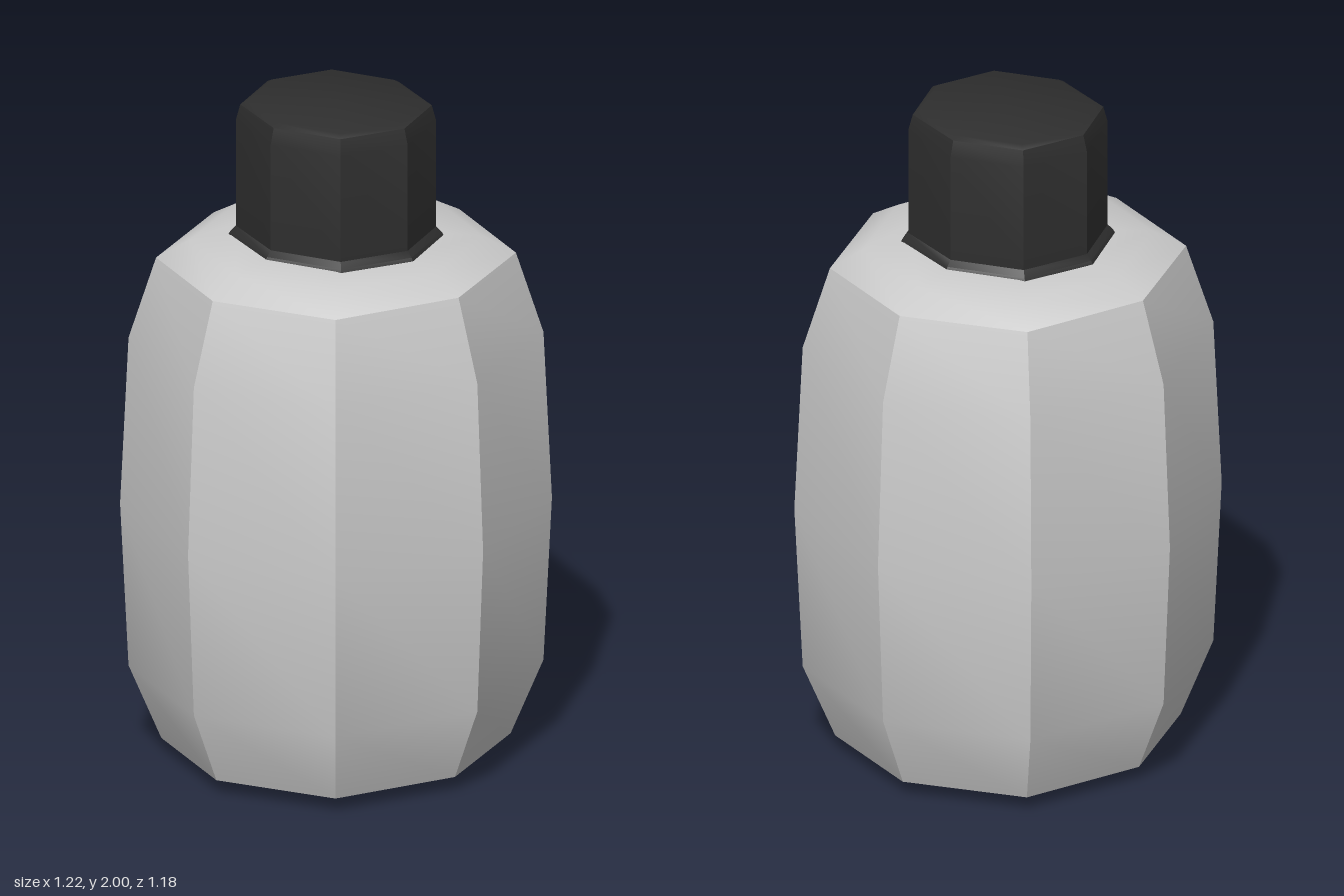
import * as THREE from 'three';
import { toCreasedNormals } from 'three/addons/utils/BufferGeometryUtils.js';

// Eight-sided turned form, stretched separately in x and z, corners on the axes
function octagonalLathe(name, profile, zScale, color) {
  const points = profile.map(([r, y]) => new THREE.Vector2(r, y));
  const lathe = new THREE.LatheGeometry(points, 8);
  const pos = lathe.attributes.position;
  for (let i = 0; i < pos.count; i++) {
    const x = pos.getX(i), z = pos.getZ(i);
    // diagonal corners sit slightly further out than a regular octagon
    const k = Math.abs(x * z) > 1e-6 ? 1.035 : 1;
    pos.setX(i, x * k);
    pos.setZ(i, z * k * zScale);
  }
  const mesh = new THREE.Mesh(
    toCreasedNormals(lathe, THREE.MathUtils.degToRad(32)),
    new THREE.MeshStandardMaterial({ color })
  );
  mesh.name = name;
  return mesh;
}

export function createModel() {
  const group = new THREE.Group();
  group.name = 'bottle';

  // Barrel-shaped body with a shallow base and rounded shoulder
  group.add(octagonalLathe('body', [
    [0, 0], [0.08, 0.002], [0.31, 0.008], [0.495, 0.045],
    [0.588, 0.27], [0.612, 0.77], [0.588, 1.28], [0.51, 1.525],
    [0.415, 1.578], [0.28, 1.592], [0, 1.595],
  ], 0.96, 0xcccccc));

  // Dark cap with a thin flared rim at its foot and a bevelled top
  group.add(octagonalLathe('cap', [
    [0, 1.588], [0.29, 1.588], [0.285, 1.598], [0.27, 1.615],
    [0.27, 1.94], [0.258, 1.988], [0.24, 1.998], [0, 2],
  ], 1.06, 0x2e2e2e));

  return group;
}
